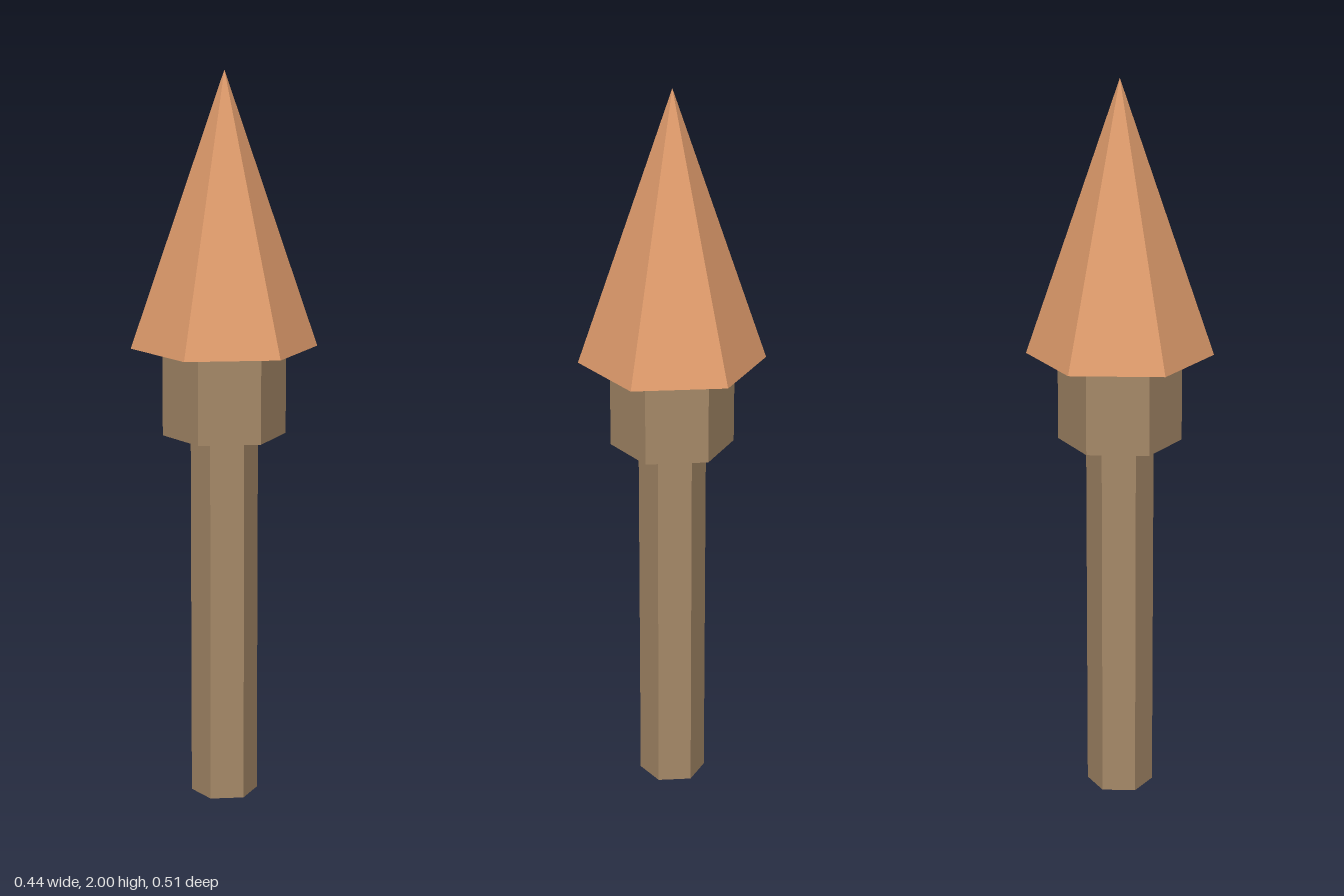
import * as THREE from 'three';

const SIDES = 6;

export function createModel() {
  const group = new THREE.Group();
  const wood = new THREE.MeshStandardMaterial({ color: 0xa68968, flatShading: true });
  wood.name = 'brown wood';
  const copper = new THREE.MeshStandardMaterial({ color: 0xe09c6c, flatShading: true });
  copper.name = 'copper orange';

  // Hexagonal section standing between two heights, corners towards +z and -z
  const addSection = (name, bottomRadius, topRadius, y0, y1, material) => {
    const geometry = topRadius > 0
      ? new THREE.CylinderGeometry(topRadius, bottomRadius, y1 - y0, SIDES)
      : new THREE.ConeGeometry(bottomRadius, y1 - y0, SIDES);
    const mesh = new THREE.Mesh(geometry, material);
    mesh.name = name;
    mesh.position.y = (y0 + y1) / 2;
    group.add(mesh);
  };

  addSection('shaft', 0.092, 0.092, 0, 1.02, wood);
  addSection('collar', 0.168, 0.168, 1.02, 1.26, wood);
  addSection('pointedTip', 0.253, 0, 1.26, 2, copper);

  return group;
}
